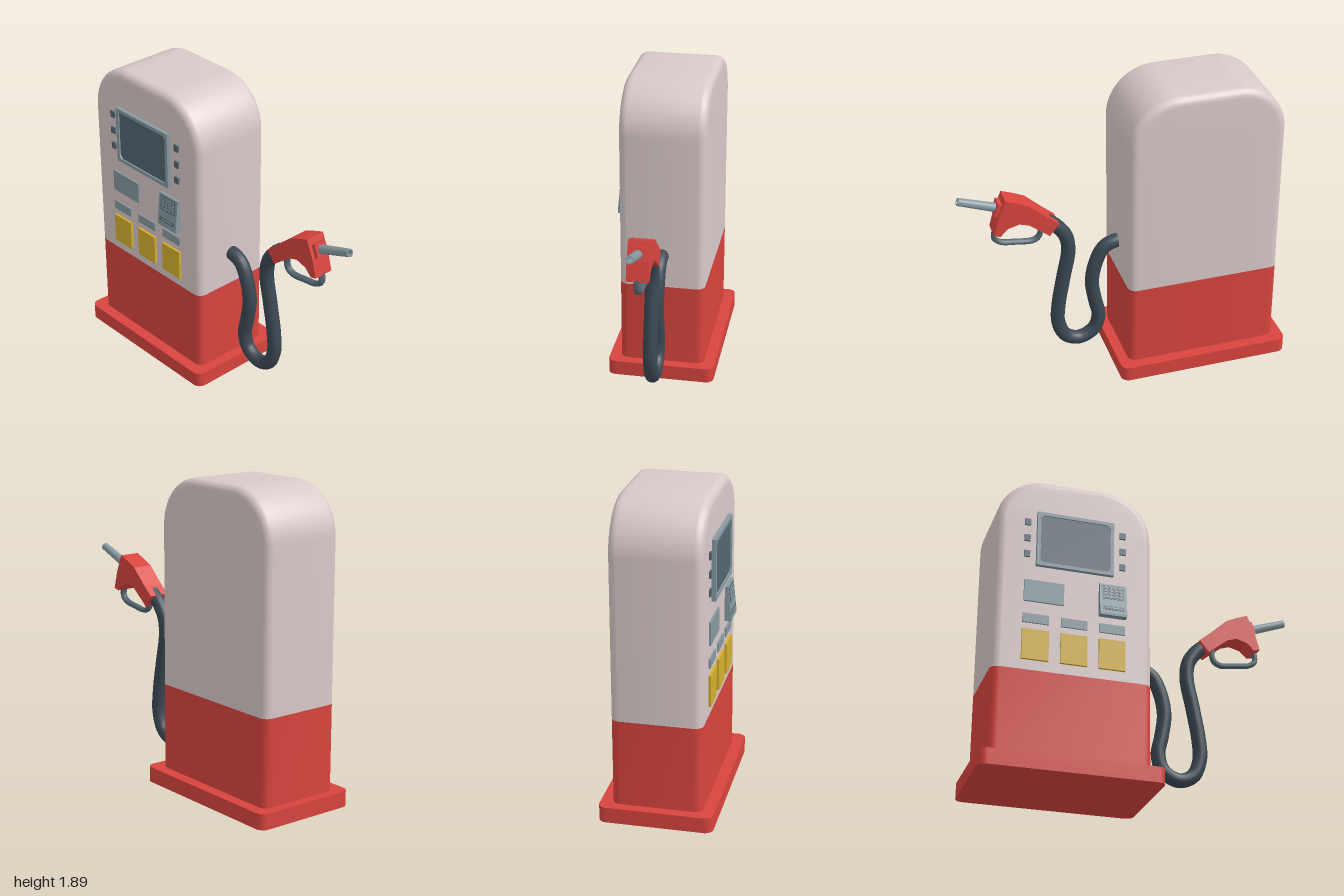
import * as THREE from 'three';
import { toCreasedNormals } from 'three/addons/utils/BufferGeometryUtils.js';

const mat = (name, color, side = THREE.FrontSide) => {
  const m = new THREE.MeshStandardMaterial({ color, side });
  m.name = name;
  return m;
};

// Rectangle outline with separate corner radii for the top and bottom
function roundRect(x0, y0, x1, y1, rTop, rBottom = rTop) {
  const s = new THREE.Shape();
  s.moveTo(x0 + rBottom, y0);
  s.lineTo(x1 - rBottom, y0);
  if (rBottom) s.absarc(x1 - rBottom, y0 + rBottom, rBottom, -Math.PI / 2, 0);
  s.lineTo(x1, y1 - rTop);
  if (rTop) s.absarc(x1 - rTop, y1 - rTop, rTop, 0, Math.PI / 2);
  s.lineTo(x0 + rTop, y1);
  if (rTop) s.absarc(x0 + rTop, y1 - rTop, rTop, Math.PI / 2, Math.PI);
  s.lineTo(x0, y0 + rBottom);
  if (rBottom) s.absarc(x0 + rBottom, y0 + rBottom, rBottom, Math.PI, Math.PI * 1.5);
  return s;
}

// Cabinet section with rounded upright edges, cut flat at heights lo and hi
function cabinet(shape, lo, hi) {
  const b = 0.05, half = 0.265;
  const g = new THREE.ExtrudeGeometry(shape, {
    depth: 2 * (half - b), bevelThickness: b, bevelSize: b, bevelOffset: -b,
    bevelSegments: 5, curveSegments: 10,
  });
  g.translate(0, 0, b - half);
  const p = g.attributes.position;
  for (let i = 0; i < p.count; i++) p.setY(i, THREE.MathUtils.clamp(p.getY(i), lo, hi));
  return toCreasedNormals(g, 0.6);
}

const curve = (pts) => new THREE.CatmullRomCurve3(pts.map(([x, y]) => new THREE.Vector3(x, y, 0)));

export function createModel() {
  const root = new THREE.Group();
  root.name = 'fuelPump';
  const red = mat('red', 0xd8443e);
  const cream = mat('paleBody', 0xd9c9c9);
  const grey = mat('panelGrey', 0x8799a1);
  const dark = mat('screenSlate', 0x536670);
  const rubber = mat('hoseRubber', 0x3b4852);
  const yellow = mat('yellow', 0xd4b02e);
  const steel = mat('spoutSteel', 0x8799a1, THREE.DoubleSide);

  const add = (name, geometry, material, parent = root) => {
    const m = new THREE.Mesh(geometry, material);
    m.name = name;
    parent.add(m);
    return m;
  };
  // Box given by its front rectangle and its depth range
  const box = (name, x0, x1, y0, y1, z0, z1, material, parent = root) => {
    const m = add(name, new THREE.BoxGeometry(x1 - x0, y1 - y0, z1 - z0), material, parent);
    m.position.set((x0 + x1) / 2, (y0 + y1) / 2, (z0 + z1) / 2);
    return m;
  };

  // Plinth
  const plinth = new THREE.ExtrudeGeometry(roundRect(-1, -0.335, 0.084, 0.335, 0.05), {
    depth: 0.095, bevelEnabled: false, curveSegments: 5,
  });
  plinth.rotateX(-Math.PI / 2);
  add('plinth', toCreasedNormals(plinth, 0.6), red);

  // Cabinet
  add('lowerCabinet', cabinet(roundRect(-0.94, -0.1, 0.02, 0.8, 0), 0.09, 0.62), red);
  add('upperCabinet', cabinet(roundRect(-0.94, 0.4, 0.02, 1.89, 0.3, 0), 0.62, 2), cream);

  // Display with a chamfered opening in its frame
  const frame = roundRect(-0.7, 1.292, -0.225, 1.652, 0);
  const hole = new THREE.Path();
  const [hx0, hx1, hy0, hy1, c] = [-0.678, -0.247, 1.314, 1.63, 0.018];
  [[hx0 + c, hy0], [hx0, hy0 + c], [hx0, hy1 - c], [hx0 + c, hy1],
    [hx1 - c, hy1], [hx1, hy1 - c], [hx1, hy0 + c], [hx1 - c, hy0]]
    .forEach(([x, y], i) => (i ? hole.lineTo(x, y) : hole.moveTo(x, y)));
  hole.closePath();
  frame.holes.push(hole);
  const frameMesh = add('displayFrame', new THREE.ExtrudeGeometry(frame, { depth: 0.03, bevelEnabled: false }), grey);
  frameMesh.position.z = 0.26;
  box('displayScreen', -0.69, -0.235, 1.3, 1.64, 0.26, 0.281, dark);

  // Selection buttons on both sides of the display
  for (const x of [-0.755, -0.165])
    for (const y of [1.58, 1.472, 1.366])
      box('selectionButton', x - 0.018, x + 0.018, y - 0.021, y + 0.021, 0.26, 0.275, dark);

  // Information panel, labels and grade selectors
  box('infoPanel', -0.766, -0.525, 1.054, 1.192, 0.26, 0.277, grey);
  for (const x of [-0.69, -0.459, -0.228]) {
    box('gradeLabel', x - 0.079, x + 0.079, 0.916, 0.973, 0.26, 0.275, grey);
    box('gradeSelector', x - 0.08, x + 0.08, 0.682, 0.872, 0.26, 0.28, yellow);
  }

  // Payment terminal: wedge with keypad and card slot on its sloping face
  const wedge = new THREE.Shape([[0.25, 1.02], [0.305, 1.02], [0.305, 1.035], [0.285, 1.232], [0.25, 1.232]]
    .map(([z, y]) => new THREE.Vector2(z, y)));
  const wedgeGeo = new THREE.ExtrudeGeometry(wedge, { depth: 0.166, bevelEnabled: false });
  wedgeGeo.rotateY(-Math.PI / 2);
  add('paymentTerminal', wedgeGeo, grey).position.x = -0.145;
  const face = new THREE.Group();
  face.name = 'terminalFace';
  face.position.set(-0.228, 1.134, 0.295);
  face.rotation.x = -Math.atan2(0.02, 0.197);
  root.add(face);
  box('keypad', -0.065, 0.065, -0.005, 0.087, -0.003, 0.002, dark, face);
  for (let r = 0; r < 4; r++)
    for (let k = 0; k < 4; k++) {
      const x = -0.046 + k * 0.0307, y = 0.009 + r * 0.0213;
      box('key', x - 0.011, x + 0.011, y - 0.007, y + 0.007, 0, 0.005, grey, face);
    }
  box('cardSlotRim', -0.064, 0.064, -0.08, -0.056, -0.003, 0.003, dark, face);
  box('cardSlotLip', -0.05, 0.05, -0.072, -0.064, 0, 0.005, grey, face);

  // Hose
  const hosePath = curve([[-0.02, 0.832], [0.04, 0.832], [0.105, 0.8], [0.157, 0.7], [0.183, 0.56],
    [0.165, 0.42], [0.143, 0.3], [0.175, 0.2], [0.27, 0.152], [0.36, 0.19], [0.405, 0.3],
    [0.4, 0.43], [0.365, 0.63], [0.33, 0.82], [0.343, 0.925], [0.395, 1.005], [0.47, 1.07]]);
  add('hose', new THREE.TubeGeometry(hosePath, 90, 0.044, 16), rubber);

  // Nozzle handle
  const nozzle = new THREE.Group();
  nozzle.name = 'nozzle';
  root.add(nozzle);
  const grip = new THREE.Shape([[0.398, 1.061], [0.457, 0.987], [0.495, 1.019], [0.58, 1.085], [0.639, 1.104],
    [0.709, 1.085], [0.755, 1.04], [0.794, 1.05], [0.762, 1.165], [0.716, 1.275], [0.64, 1.247],
    [0.575, 1.217], [0.463, 1.115]].map(([x, y]) => new THREE.Vector2(x, y)));
  const gripGeo = new THREE.ExtrudeGeometry(grip, { depth: 0.128, bevelEnabled: false });
  gripGeo.translate(0, 0, -0.064);
  add('nozzleHandle', gripGeo, red, nozzle);

  // Spout collar and hollow spout, both on the same tilted axis
  const spout = new THREE.Group();
  spout.name = 'spoutAssembly';
  spout.position.set(0.75, 1.203, 0);
  spout.rotation.z = Math.atan2(0.084, 0.237);
  nozzle.add(spout);
  box('spoutCollar', -0.04, 0.021, -0.041, 0.041, -0.042, 0.042, red, spout);
  const tube = new THREE.LatheGeometry([[0.028, 0], [0.024, 0.252], [0.017, 0.252], [0.017, 0.13], [0, 0.13]]
    .map(([r, y]) => new THREE.Vector2(r, y)), 16);
  add('spout', toCreasedNormals(tube, 0.6), steel, spout).rotation.z = -Math.PI / 2;

  // Trigger guard
  const guardPath = curve([[0.515, 1.06], [0.498, 1.005], [0.512, 0.958], [0.55, 0.937], [0.65, 0.946],
    [0.745, 0.963], [0.782, 0.995], [0.777, 1.06]]);
  const guard = add('triggerGuard', new THREE.TubeGeometry(guardPath, 36, 0.017, 8), dark, nozzle);
  guard.scale.z = 1.3;

  return root;
}
